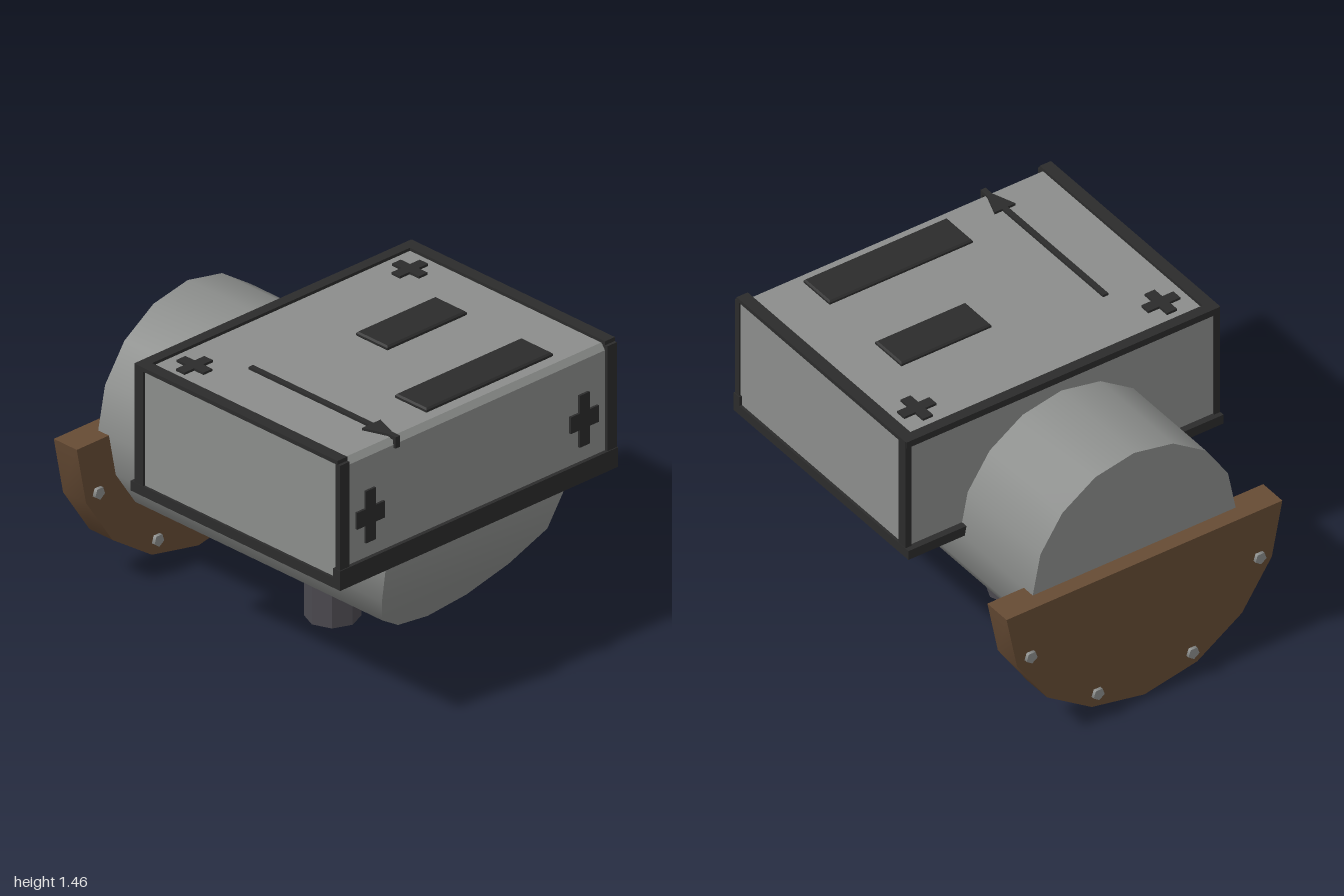
import * as THREE from 'three';
import { toCreasedNormals } from 'three/addons/utils/BufferGeometryUtils.js';

const mat = (name, color) => {
  const m = new THREE.MeshStandardMaterial({ color });
  m.name = name;
  return m;
};

export function createModel() {
  const model = new THREE.Group();
  const grey = mat('grey metal', 0x8b8d8b);
  const black = mat('black trim', 0x2b2b2b);
  const brown = mat('brown flange', 0x664b34);
  const steel = mat('dark steel', 0x4b494f);

  const add = (name, geometry, material, parent = model) => {
    const mesh = new THREE.Mesh(geometry, material);
    mesh.name = name;
    parent.add(mesh);
    return mesh;
  };
  // Box given by its limits on each axis
  const box = (name, [x0, x1], [y0, y1], [z0, z1], material, parent) => {
    const mesh = add(name, new THREE.BoxGeometry(x1 - x0, y1 - y0, z1 - z0), material, parent);
    mesh.position.set((x0 + x1) / 2, (y0 + y1) / 2, (z0 + z1) / 2);
    return mesh;
  };
  const polygon = (points) => new THREE.Shape(points.map(([x, y]) => new THREE.Vector2(x, y)));

  // Housing with a chamfered top front edge, extruded across x
  const profile = polygon([[-0.975, 0.82], [0.335, 0.82], [0.335, 1.44], [-0.95, 1.44], [-0.975, 1.41]]);
  const housing = new THREE.ExtrudeGeometry(profile, { depth: 1.72, bevelEnabled: false });
  housing.translate(0, 0, -0.86).rotateY(Math.PI / 2);
  add('housing', housing, grey);

  // Trim along the housing edges
  const trim = new THREE.Group();
  trim.name = 'trim';
  model.add(trim);
  for (const s of [-1, 1]) {
    const span = (a, b) => (s > 0 ? [a, b] : [-b, -a]);
    box('frontPost', span(0.81, 0.87), [0.82, 1.435], [0.96, 0.99], black, trim);
    box('backPost', span(0.84, 0.872), [0.82, 1.45], [-0.345, -0.29], black, trim);
    box('topSideRail', span(0.81, 0.872), [1.435, 1.455], [-0.345, 0.975], black, trim);
    box('bottomSideRail', span(0.83, 0.874), [0.8, 0.85], [-0.37, 0.99], black, trim);
  }
  box('topBackRail', [-0.87, 0.87], [1.42, 1.455], [-0.35, -0.295], black, trim);
  box('bottomBackRail', [-0.874, 0.874], [0.8, 0.85], [-0.37, -0.32], black, trim);
  box('bottomFrontRail', [-0.874, 0.874], [0.8, 0.9], [0.95, 0.995], black, trim);

  // Raised crosses on the front and top
  const cross = (name, w, h, arm, bar) => {
    const g = new THREE.Group();
    g.name = name;
    box('upright', [-arm / 2, arm / 2], [-h / 2, h / 2], [-0.01, 0.012], black, g);
    for (const [a, b] of [[-w / 2, -arm / 2], [arm / 2, w / 2]])
      box('sideArm', [a, b], [-bar / 2, bar / 2], [-0.01, 0.012], black, g);
    model.add(g);
    return g;
  };
  for (const s of [-1, 1]) {
    cross('frontCross', 0.175, 0.265, 0.062, 0.085).position.set(s * 0.672, 1.11, 0.975);
    const top = cross('topCross', 0.178, 0.175, 0.055, 0.055);
    top.position.set(s * 0.677, 1.44, -0.158);
    top.rotation.x = -Math.PI / 2;
  }

  // Plates on the top with softened edges
  const plate = (x0, x1, z0, z1) => {
    const b = 0.008;
    const shape = polygon([[x0 + b, -z1 + b], [x1 - b, -z1 + b], [x1 - b, -z0 - b], [x0 + b, -z0 - b]]);
    const g = new THREE.ExtrudeGeometry(shape, { depth: 0.01, bevelThickness: b, bevelSize: b, bevelSegments: 1 });
    g.rotateX(-Math.PI / 2).translate(0, 1.446, 0);
    add('topPlate', g, black);
  };
  plate(0.055, 0.555, 0.135, 0.34);
  plate(-0.24, 0.555, 0.695, 0.9);

  // Arrow running to the front edge and folding over it
  const arrow = polygon([[-0.519, -0.03], [-0.519, -0.815], [-0.563, -0.815], [-0.519, -0.935], [-0.519, -0.985],
    [-0.49, -0.985], [-0.49, -0.935], [-0.446, -0.815], [-0.49, -0.815], [-0.49, -0.03]]);
  const arrowGeo = new THREE.ExtrudeGeometry(arrow, { depth: 0.017, bevelEnabled: false });
  add('arrow', arrowGeo.rotateX(-Math.PI / 2).translate(0, 1.435, 0), black);
  box('arrowTip', [-0.519, -0.49], [1.395, 1.452], [0.97, 0.988], black);

  // Round body: 16-sided tube whose front is cut back toward the bottom
  const n = 16, centreY = 0.793;
  const ring = (i, r) => [r * Math.sin((i * 2 * Math.PI) / n), centreY - r * Math.cos((i * 2 * Math.PI) / n)];
  const cut = [0.66, 0.69, 0.775, 0.9, 0.97];
  const pos = [], idx = [];
  for (let i = 0; i < n; i++) pos.push(...ring(i, 0.563), cut[Math.min(i, n - i, 4)]);
  for (let i = 0; i < n; i++) pos.push(...ring(i, 0.563), -0.903);
  for (let i = 0; i < n; i++) {
    const k = (i + 1) % n;
    idx.push(i, n + i, n + k, i, n + k, k);
    if (i > 0 && k > 0) idx.push(n, n + k, n + i);
  }
  // Front face in horizontal strips
  for (let j = 0; j < n / 2; j++) {
    if (j < n / 2 - 1) idx.push(j, j + 1, n - 1 - j);
    if (j > 0) idx.push(j, n - 1 - j, n - j);
  }
  const body = new THREE.BufferGeometry();
  body.setAttribute('position', new THREE.Float32BufferAttribute(pos, 3));
  body.setIndex(idx);
  add('roundBody', toCreasedNormals(body, 0.7), grey);

  // Half-round flange at the back
  const rim = [];
  for (let i = -4; i <= 4; i++) rim.push(ring(i, 0.765));
  const flange = new THREE.ExtrudeGeometry(polygon(rim), { depth: 0.15, bevelEnabled: false });
  add('flange', toCreasedNormals(flange.translate(0, 0, -0.983), 0.6), brown);

  // Bolts through the flange
  for (const [x, y] of [[0.635, 0.53], [0.263, 0.155]])
    for (const s of [-1, 1]) {
      const bolt = add('bolt', new THREE.CylinderGeometry(0.032, 0.032, 0.185, 5).rotateX(Math.PI / 2), grey);
      bolt.position.set(s * x, y, -0.9075);
    }

  // Octagonal stub under the body
  const stub = add('stub', new THREE.CylinderGeometry(0.13, 0.13, 0.3, 8).toNonIndexed(), steel);
  stub.geometry.computeVertexNormals();
  stub.position.set(0, 0.15, 0.04);

  return model;
}
